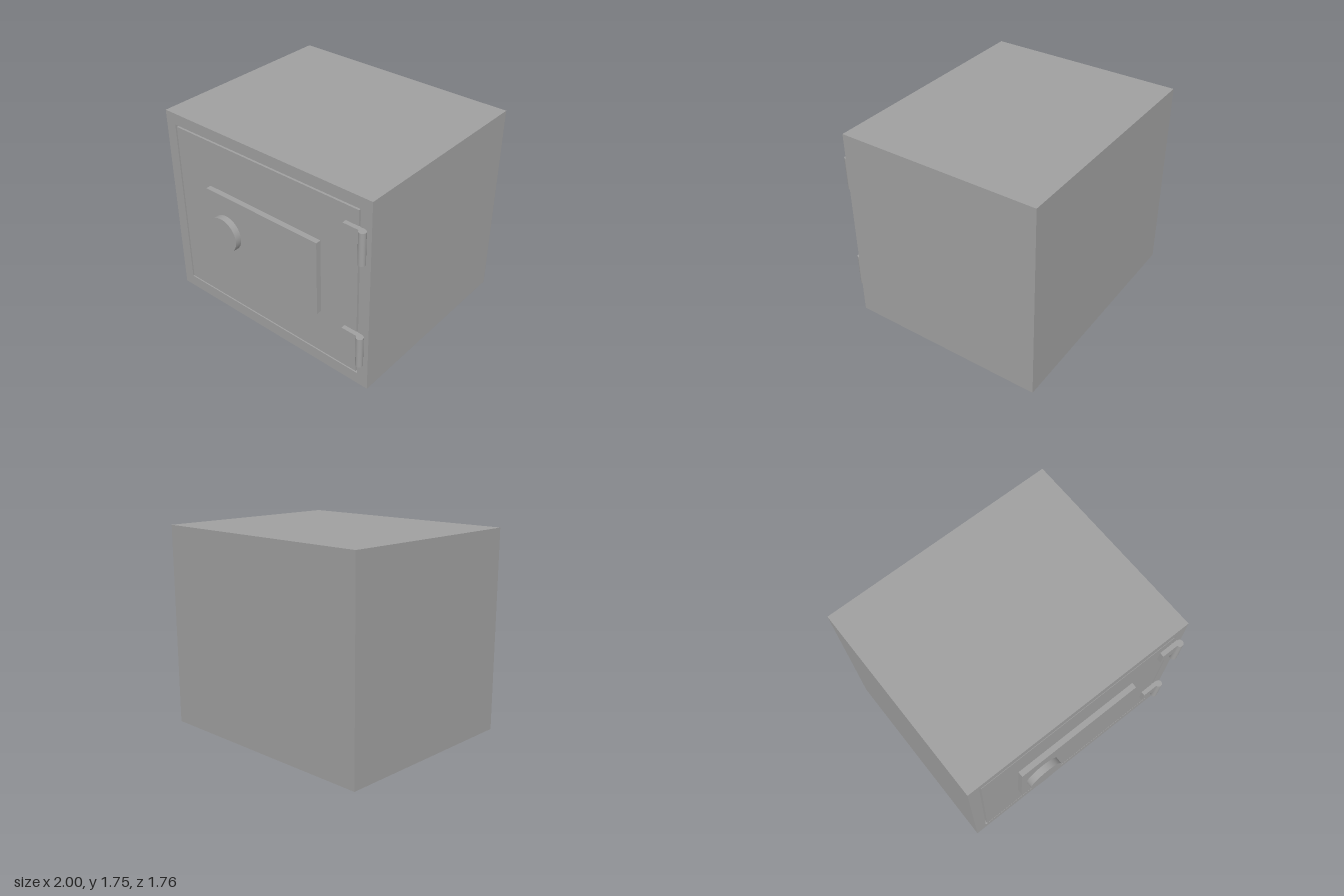
import * as THREE from 'three';

export function createModel() {
  const group = new THREE.Group();
  group.name = 'safe';
  const grey = new THREE.MeshStandardMaterial({ name: 'grey metal', color: 0xa0a0a0 });
  const greyOpen = new THREE.MeshStandardMaterial({ name: 'grey metal', color: 0xa0a0a0, side: THREE.DoubleSide });

  const add = (name, geometry, x = 0, y = 0, z = 0, material = grey) => {
    const mesh = new THREE.Mesh(geometry, material);
    mesh.name = name;
    mesh.position.set(x, y, z);
    group.add(mesh);
    return mesh;
  };
  // Box given by its limits on each axis
  const addBox = (name, x0, x1, y0, y1, z0, z1) =>
    add(name, new THREE.BoxGeometry(x1 - x0, y1 - y0, z1 - z0),
      (x0 + x1) / 2, (y0 + y1) / 2, (z0 + z1) / 2);
  const corners = (x, y0, y1) => [[-x, y0], [x, y0], [x, y1], [-x, y1]].map(p => new THREE.Vector2(...p));

  // Cabinet: one shell with a recessed door opening, closed by a back wall
  const frame = new THREE.Shape(corners(1, 0.09, 1.755));
  frame.holes.push(new THREE.Path(corners(0.905, 0.19, 1.66)));
  add('cabinet', new THREE.ExtrudeGeometry(frame, { depth: 1.66, bevelEnabled: false }), 0, 0, -0.88);
  const back = add('backWall', new THREE.PlaneGeometry(1.81, 1.47), 0, 0.925, -0.88);
  back.rotation.y = Math.PI;

  // Door with a narrow gap around it, and the seal behind that gap
  addBox('door', -0.89, 0.89, 0.203, 1.645, 0.68, 0.78);
  add('doorSeal', new THREE.PlaneGeometry(1.81, 1.47), 0, 0.925, 0.74);

  // Lock plate and dial
  addBox('lockPlate', -0.56, 0.555, 0.605, 1.247, 0.78, 0.825);
  const dial = add('dial', new THREE.CylinderGeometry(0.15, 0.15, 0.055, 40), -0.36, 0.924, 0.8525);
  dial.rotation.x = Math.PI / 2;

  // Hinges: a flat leaf and a longer barrel
  for (const top of [1.52, 0.595]) {
    addBox('hingeLeaf', 0.78, 0.946, top - 0.133, top, 0.775, 0.816);
    add('hingeBarrel', new THREE.CylinderGeometry(0.029, 0.029, 0.27, 20), 0.946, top - 0.135, 0.812);
  }

  // Hollow feet with a tapered lower rim
  const profile = [[0.132, 0], [0.166, 0.035], [0.166, 0.09]].map(p => new THREE.Vector2(...p));
  const foot = new THREE.LatheGeometry(profile, 12);
  for (const x of [-0.695, 0.695])
    for (const z of [-0.57, 0.48]) add('foot', foot, x, 0, z, greyOpen);

  return group;
}
